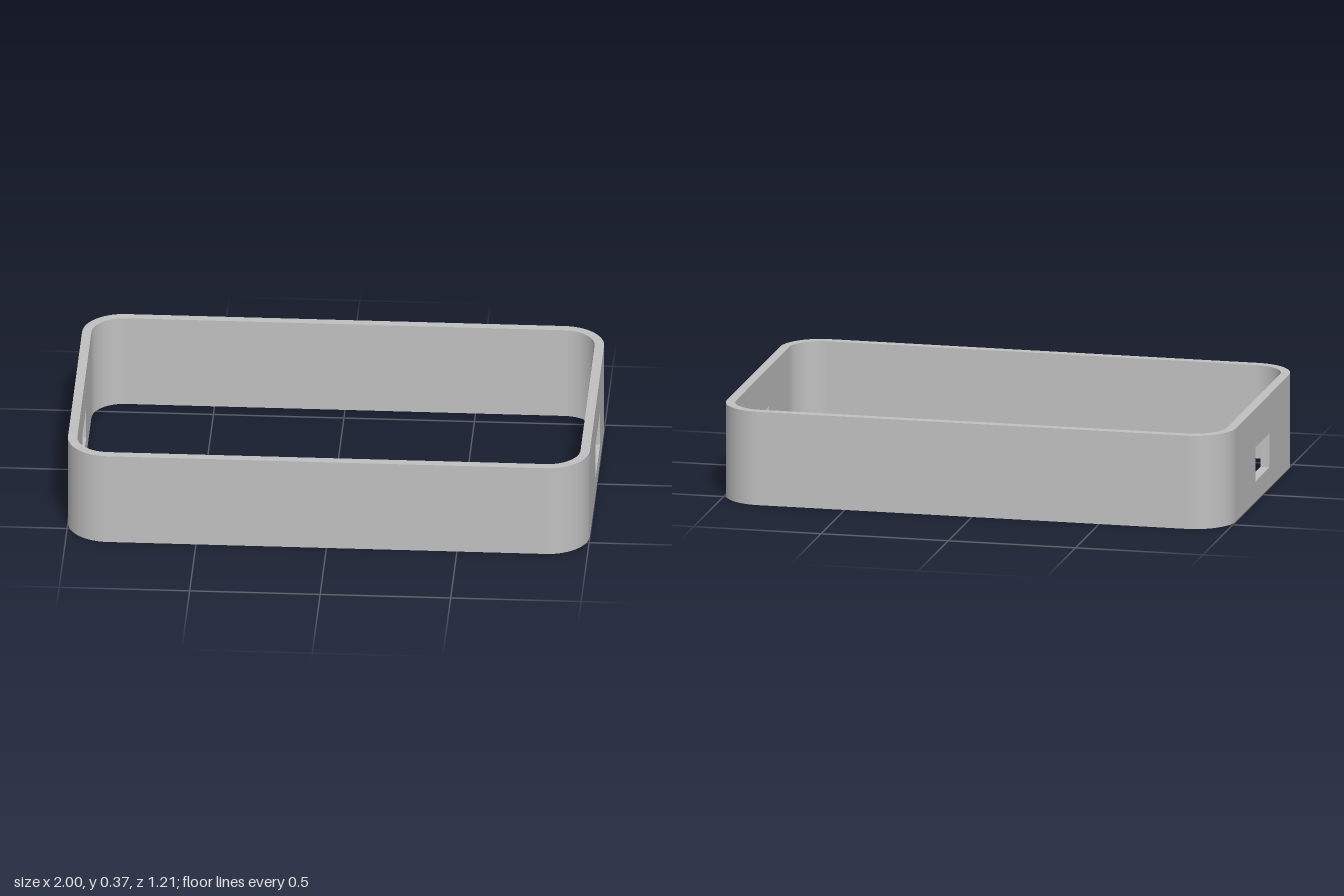
import * as THREE from 'three';

const DEPTH = 0.605;      // half depth
const HEIGHT = 0.367;
const WALL = 0.036;       // wall thickness
const RADIUS = 0.16;      // outer corner radius
const ARC = 14;           // segments per corner
const LEVELS = [0, 0.07, 0.08, 0.214, HEIGHT];

// Stations around the outer edge: corners in order, with the window edges between them
function perimeter() {
  const stations = [];
  const add = (x, z, nx, nz, hole) => stations.push({ x, z, nx, nz, hole });
  const corner = (k) => {
    const cx = (k === 0 || k === 3 ? 1 : -1) * (1 - RADIUS);
    const cz = (k < 2 ? 1 : -1) * (DEPTH - RADIUS);
    for (let i = 0; i <= ARC; i++) {
      const a = (k + i / ARC) * Math.PI / 2;
      add(cx + RADIUS * Math.cos(a), cz + RADIUS * Math.sin(a), Math.cos(a), Math.sin(a));
    }
  };
  // "hole" lists the first and last open level in the span after the station
  add(1, -0.195, 1, 0, [1, 2]);
  add(1, 0.105, 1, 0);
  corner(0);
  corner(1);
  add(-1, 0.115, -1, 0, [2, 2]);
  add(-1, -0.115, -1, 0);
  corner(2);
  corner(3);
  return stations;
}

function frameGeometry() {
  const st = perimeter(), n = st.length;
  const positions = [], normals = [];
  const point = (s, inset, y) => new THREE.Vector3(s.x - s.nx * inset, y, s.z - s.nz * inset);

  // Quad with given corner normals, or one flat normal
  const quad = (corners, dirs) => {
    const flat = new THREE.Vector3().subVectors(corners[1], corners[0])
      .cross(new THREE.Vector3().subVectors(corners[2], corners[0])).normalize();
    for (const i of [0, 1, 2, 0, 2, 3]) {
      positions.push(...corners[i].toArray());
      normals.push(...(dirs ? dirs[i] : flat).toArray());
    }
  };

  const solid = (i, k) => {
    if (k < 0 || k >= LEVELS.length - 1) return false;
    const h = st[(i + n) % n].hole;
    return !(h && k >= h[0] && k <= h[1]);
  };

  for (let i = 0; i < n; i++) {
    const a = st[i], b = st[(i + 1) % n];
    const na = new THREE.Vector3(a.nx, 0, a.nz), nb = new THREE.Vector3(b.nx, 0, b.nz);
    const ia = na.clone().negate(), ib = nb.clone().negate();
    for (let k = 0; k < LEVELS.length - 1; k++) {
      if (!solid(i, k)) continue;
      const lo = LEVELS[k], hi = LEVELS[k + 1];
      const [aLo, aHi, bLo, bHi] = [point(a, 0, lo), point(a, 0, hi), point(b, 0, lo), point(b, 0, hi)];
      const [aLoIn, aHiIn, bLoIn, bHiIn] =
        [point(a, WALL, lo), point(a, WALL, hi), point(b, WALL, lo), point(b, WALL, hi)];
      // outer and inner skins
      quad([aLo, aHi, bHi, bLo], [na, na, nb, nb]);
      quad([bLoIn, bHiIn, aHiIn, aLoIn], [ib, ib, ia, ia]);
      // rims, window sills and window jambs wherever the wall meets open air
      if (!solid(i, k + 1)) quad([aHi, aHiIn, bHiIn, bHi]);
      if (!solid(i, k - 1)) quad([bLo, bLoIn, aLoIn, aLo]);
      if (!solid(i + 1, k)) quad([bLoIn, bLo, bHi, bHiIn]);
      if (!solid(i - 1, k)) quad([aHiIn, aHi, aLo, aLoIn]);
    }
  }
  const geometry = new THREE.BufferGeometry();
  geometry.setAttribute('position', new THREE.Float32BufferAttribute(positions, 3));
  geometry.setAttribute('normal', new THREE.Float32BufferAttribute(normals, 3));
  return geometry;
}

export function createModel() {
  const model = new THREE.Group();
  model.name = 'enclosureFrame';
  const grey = new THREE.MeshStandardMaterial({ color: 0xc0c0c0 });
  grey.name = 'grey';
  // Rounded wall with a cable window in each short side
  const wall = new THREE.Mesh(frameGeometry(), grey);
  wall.name = 'wall';
  model.add(wall);
  return model;
}
